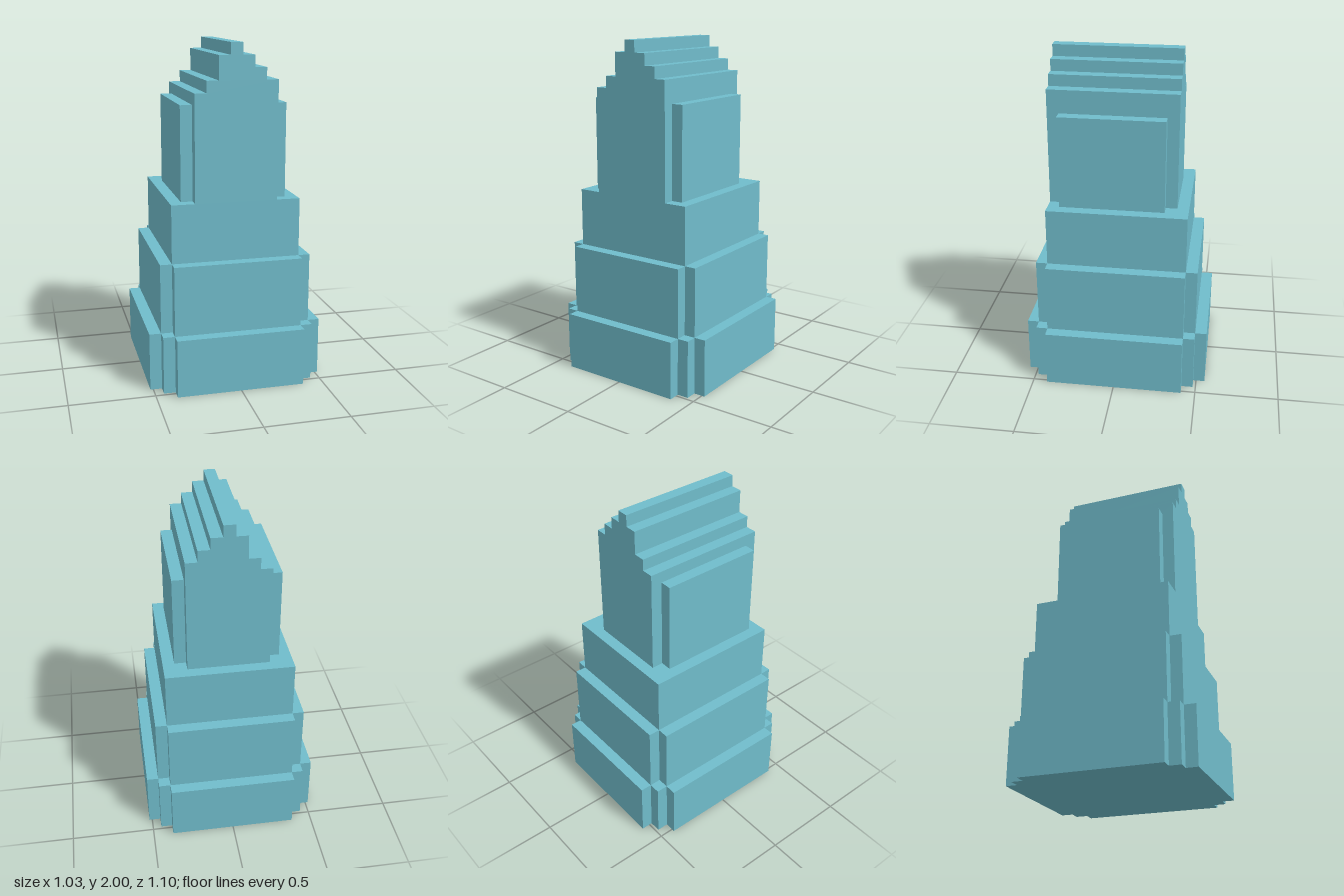
import * as THREE from 'three';

// Everything sits on a square module: the tower is 29 modules tall
const U = 2 / 29;

export function createModel() {
  const model = new THREE.Group();
  model.name = 'steppedTower';
  const tealStone = new THREE.MeshStandardMaterial({ color: 0x70bccb });
  tealStone.name = 'tealStone';

  function add(name, geometry) {
    const mesh = new THREE.Mesh(geometry, tealStone);
    mesh.name = name;
    model.add(mesh);
    return mesh;
  }

  function extrude(points, depth) {
    const shape = new THREE.Shape(points.map(([a, b]) => new THREE.Vector2(a * U, b * U)));
    return new THREE.ExtrudeGeometry(shape, { depth: depth * U, bevelEnabled: false });
  }

  // Tier with notched corners: one quarter of the plan is mirrored to all four
  function tier(name, corner, y0, y1) {
    const reversed = [...corner].reverse();
    const plan = [
      ...corner,
      ...reversed.map(([x, z]) => [-x, z]),
      ...corner.map(([x, z]) => [-x, -z]),
      ...reversed.map(([x, z]) => [x, -z]),
    ];
    const geometry = extrude(plan, y1 - y0);
    geometry.rotateX(-Math.PI / 2);
    geometry.translate(0, y0 * U, 0);
    add(name, geometry);
  }

  tier('lowerTier', [[7.5, 6], [6.5, 6], [6.5, 7], [5.5, 7], [5.5, 8]], 0, 5);
  tier('middleTier', [[6.5, 6], [5.5, 6], [5.5, 7]], 5, 11);
  tier('upperTier', [[5.5, 6]], 11, 16);

  // Tower shaft with its uneven stepped crown, as one front profile
  const stepTops = [25, 26, 28, 29, 28, 27, 26];
  const profile = [[-3.5, 16], [3.5, 16]];
  for (let i = stepTops.length - 1; i >= 0; i--) {
    profile.push([i - 2.5, stepTops[i]], [i - 3.5, stepTops[i]]);
  }
  const shaft = extrude(profile, 11);
  shaft.translate(0, 0, -5 * U);
  add('shaftAndCrown', shaft);

  // Slab on each flank of the shaft
  for (const side of [-1, 1]) {
    const slab = add(side > 0 ? 'leftSlab' : 'rightSlab', new THREE.BoxGeometry(U, 8 * U, 9 * U));
    slab.position.set(side * 4 * U, 20 * U, 0.5 * U);
  }

  return model;
}
